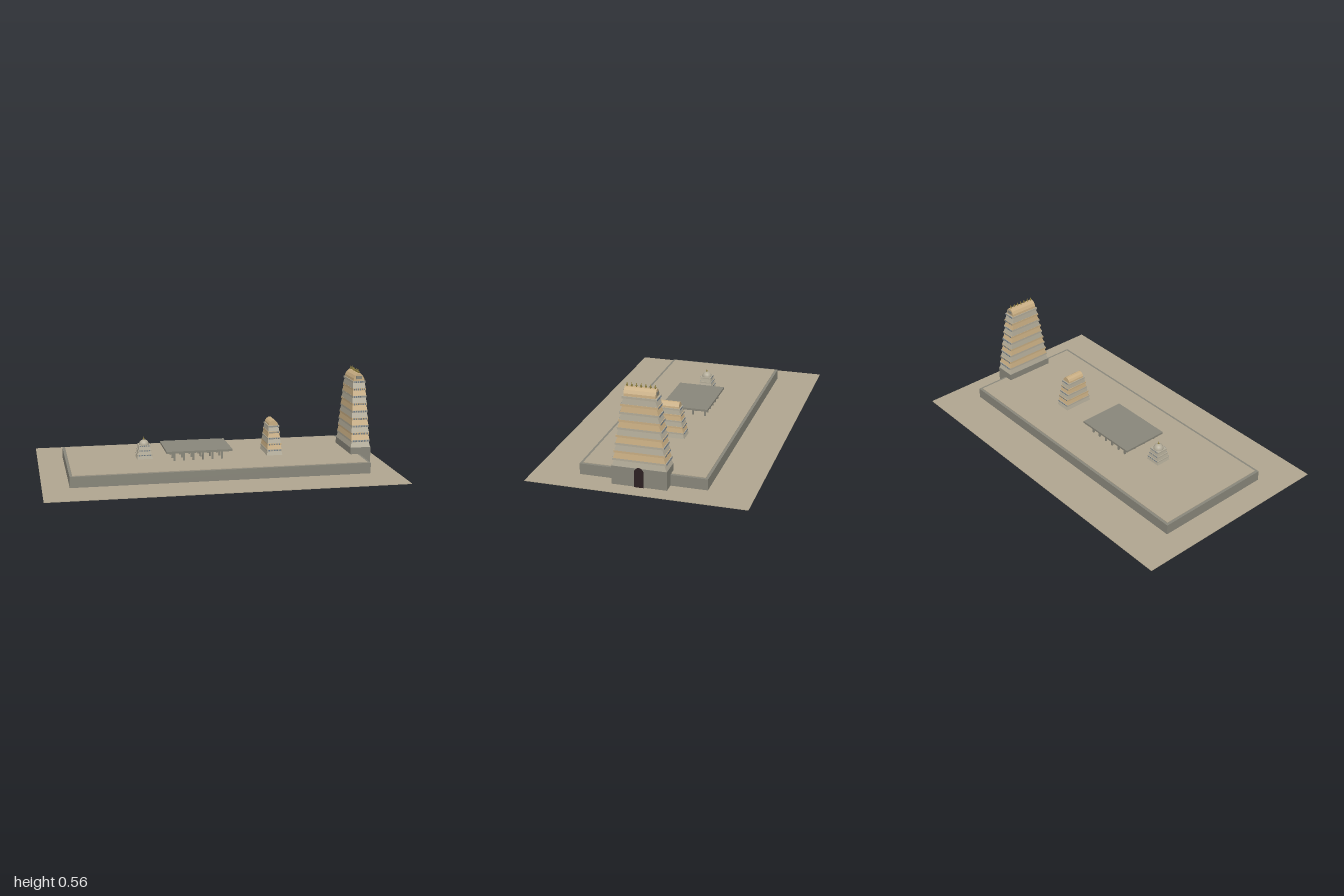
import * as THREE from 'three';

const mat = (name, color) => {
  const m = new THREE.MeshStandardMaterial({ color });
  m.name = name;
  return m;
};

export function createModel() {
  const sand = mat('sand', 0xb0a58f);
  const stone = mat('stone', 0x88867a);
  const paleStone = mat('paleStone', 0xb2ab98);
  const tan = mat('tan', 0xc8ad82);
  const dark = mat('doorDark', 0x2c2022);
  const gold = mat('gold', 0x8f7f3c);
  const blueGrey = mat('blueGrey', 0x74808a);

  const root = new THREE.Group();
  root.name = 'templeComplex';

  const add = (parent, name, geo, material, x = 0, y = 0, z = 0) => {
    const mesh = new THREE.Mesh(geo, material);
    mesh.name = name;
    mesh.position.set(x, y, z);
    parent.add(mesh);
    return mesh;
  };
  // box standing on y
  const box = (parent, name, w, h, d, material, x, y, z) =>
    add(parent, name, new THREE.BoxGeometry(w, h, d), material, x, y + h / 2, z);

  // box whose top is smaller than its bottom, given as half widths
  const frustum = (bx, bz, tx, tz, h) => {
    const g = new THREE.BoxGeometry(1, h, 1);
    const p = g.attributes.position;
    for (let i = 0; i < p.count; i++) {
      const top = p.getY(i) > 0;
      p.setX(i, Math.sign(p.getX(i)) * (top ? tx : bx));
      p.setZ(i, Math.sign(p.getZ(i)) * (top ? tz : bz));
    }
    g.translate(0, h / 2, 0);
    g.computeVertexNormals();
    return g;
  };

  // stepped tower: tapering tiers, each with a cornice and a row of small blocks
  const tieredTower = (parent, o) => {
    const h = (o.y1 - o.y0) / o.tiers;
    for (let i = 0; i < o.tiers; i++) {
      const lerp = (a, b) => a + ((b - a) * i) / o.tiers;
      const hx = lerp(o.bx, o.tx), hz = lerp(o.bz, o.tz);
      const y = o.y0 + i * h;
      const m = o.colors[i % o.colors.length];
      const ix = hx * 0.87, iz = hz - o.inset;
      add(parent, 'tier', frustum(hx, hz, ix, iz, h), m, 0, y, 0);
      const ch = h * 0.28;
      box(parent, 'cornice', 2 * ix + 0.008, ch, 2 * iz + o.ledge * 2, m, 0, y + h - ch, 0);
      // blocks along the front and back faces
      const n = o.blocks;
      for (let k = 0; k < n; k++) {
        const x = (((k + 0.5) / n) * 2 - 1) * ix;
        for (const s of [-1, 1])
          box(parent, 'corniceBlock', ix / n, ch * 0.8, 0.004, blueGrey,
            x, y + h - ch * 0.9, s * (iz + o.ledge));
      }
    }
  };

  // barrel roof running along z
  const barrelRoof = (parent, hx, hz, h, y) => {
    const s = new THREE.Shape();
    s.moveTo(-hx, 0);
    s.lineTo(hx, 0);
    s.lineTo(hx * 0.95, h * 0.35);
    s.lineTo(hx * 0.68, h * 0.72);
    s.lineTo(hx * 0.25, h);
    s.lineTo(-hx * 0.25, h);
    s.lineTo(-hx * 0.68, h * 0.72);
    s.lineTo(-hx * 0.95, h * 0.35);
    const g = new THREE.ExtrudeGeometry(s, { depth: 2 * hz, bevelEnabled: false });
    g.translate(0, 0, -hz);
    add(parent, 'barrelRoof', g, tan, 0, y, 0);
  };

  const finial = (parent, r, h, y, z) => {
    const pts = [[0.6, 0], [0.4, 0.15], [1, 0.35], [0.5, 0.55], [0, 1]]
      .map(([a, b]) => new THREE.Vector2(a * r, b * h));
    add(parent, 'finial', new THREE.LatheGeometry(pts, 8), gold, 0, y, z);
  };

  // ground and raised court
  box(root, 'ground', 2, 0.003, 1.2, sand, 0, 0, 0);
  box(root, 'courtWall', 1.695, 0.061, 0.7, stone, -0.0025, 0.003, 0);
  box(root, 'courtFloor', 1.665, 0.003, 0.67, sand, -0.0025, 0.064, 0);

  // great gate tower
  const gate = new THREE.Group();
  gate.name = 'gateTower';
  gate.position.x = 0.848;
  root.add(gate);
  box(gate, 'gateBase', 0.12, 0.105, 0.3, stone, 0, 0.001, 0);
  tieredTower(gate, {
    y0: 0.106, y1: 0.488, tiers: 9, bx: 0.058, tx: 0.036, bz: 0.148, tz: 0.09,
    inset: 0.016, ledge: 0.013, blocks: 6, colors: [paleStone, tan],
  });
  barrelRoof(gate, 0.033, 0.085, 0.045, 0.486);
  for (const s of [-1, 1])
    box(gate, 'roofEnd', 0.036, 0.018, 0.005, stone, 0, 0.498, s * 0.0855);
  for (let i = 0; i < 7; i++) finial(gate, 0.006, 0.026, 0.529, (i - 3) * 0.025);

  // arched door on the outer face
  const arch = new THREE.Shape();
  arch.moveTo(-0.025, 0);
  arch.lineTo(0.025, 0);
  arch.lineTo(0.025, 0.083);
  arch.absarc(0, 0.083, 0.025, 0, Math.PI, false);
  const doorGeo = new THREE.ExtrudeGeometry(arch, { depth: 0.008, bevelEnabled: false, curveSegments: 12 });
  doorGeo.rotateY(Math.PI / 2);
  add(gate, 'door', doorGeo, dark, 0.058, 0.002, 0);

  // inner gate tower
  const inner = new THREE.Group();
  inner.name = 'innerTower';
  inner.position.x = 0.349;
  root.add(inner);
  tieredTower(inner, {
    y0: 0.066, y1: 0.236, tiers: 5, bx: 0.046, tx: 0.029, bz: 0.09, tz: 0.058,
    inset: 0.01, ledge: 0.007, blocks: 5, colors: [paleStone, tan],
  });
  barrelRoof(inner, 0.027, 0.054, 0.031, 0.235);

  // pillared hall
  const hall = new THREE.Group();
  hall.name = 'pillaredHall';
  hall.position.x = -0.1;
  root.add(hall);
  box(hall, 'hallRoof', 0.38, 0.012, 0.276, stone, 0, 0.115, 0);
  for (let i = 0; i < 6; i++)
    for (const z of [-0.11, -0.037, 0.037, 0.11])
      box(hall, 'pillar', 0.01, 0.05, 0.01, stone, -0.142 + i * 0.055, 0.066, z);

  // domed shrine
  const shrine = new THREE.Group();
  shrine.name = 'shrine';
  shrine.position.x = -0.402;
  root.add(shrine);
  tieredTower(shrine, {
    y0: 0.066, y1: 0.144, tiers: 3, bx: 0.045, tx: 0.029, bz: 0.045, tz: 0.029,
    inset: 0.006, ledge: 0.004, blocks: 5, colors: [paleStone],
  });
  const dome = new THREE.SphereGeometry(0.029, 16, 8, 0, Math.PI * 2, 0, Math.PI / 2);
  add(shrine, 'dome', dome, paleStone, 0, 0.144, 0);
  finial(shrine, 0.006, 0.02, 0.17, 0);

  return root;
}
